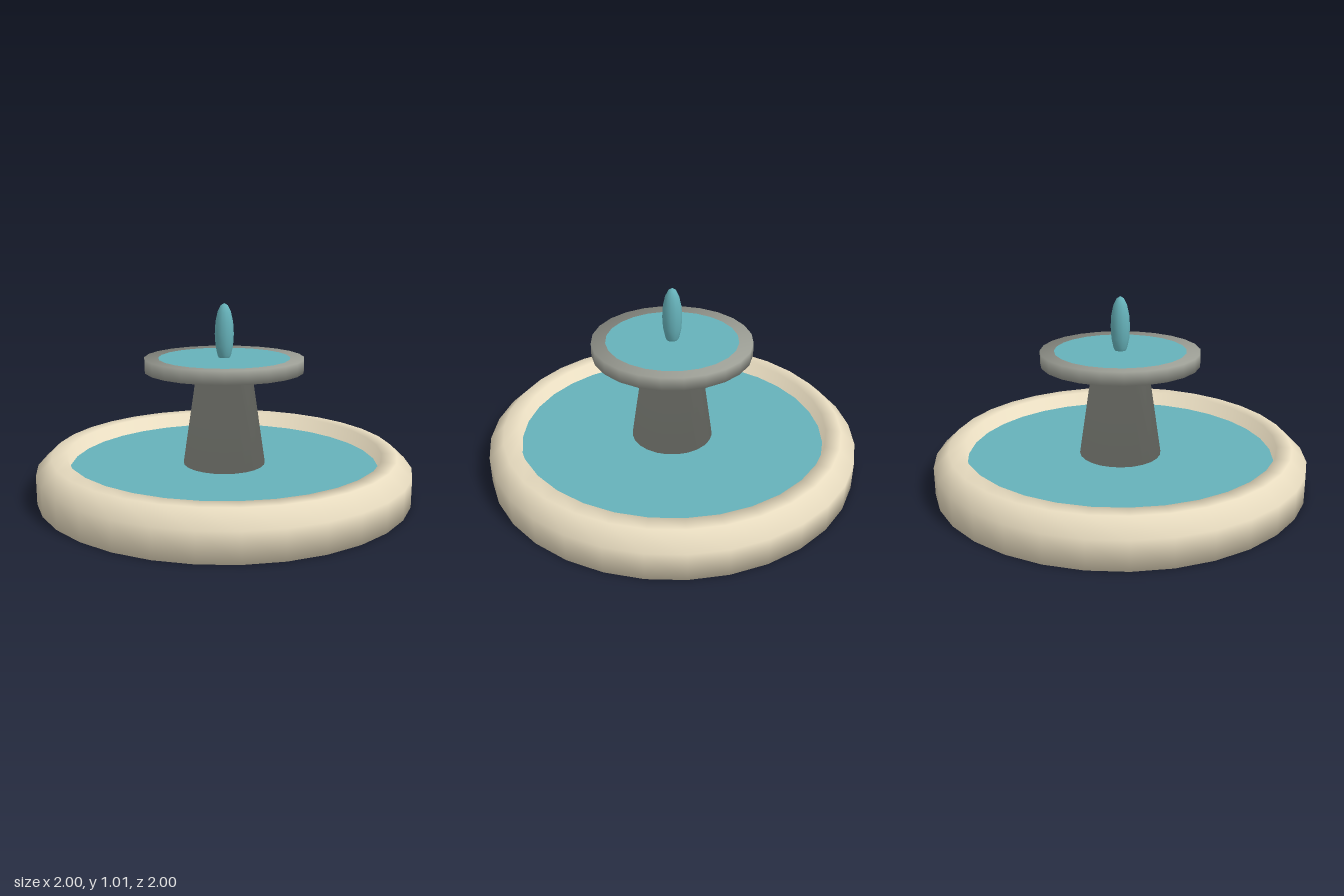
import * as THREE from 'three';

const stone = new THREE.MeshStandardMaterial({ color: 0x9b9d94 });
const cream = new THREE.MeshStandardMaterial({ color: 0xe8dcc0 });
const water = new THREE.MeshStandardMaterial({ color: 0x66b2ba });

// Turned part whose corners are softened by averaging the two neighbouring profile edges equally
function turned(profile, segments) {
  const pts = profile.map(([r, y]) => new THREE.Vector2(r, y));
  const geometry = new THREE.LatheGeometry(pts, segments);
  const edges = pts.slice(1).map((p, i) => {
    const d = p.clone().sub(pts[i]).normalize();
    return new THREE.Vector2(d.y, -d.x);
  });
  const normals = geometry.attributes.normal;
  for (let s = 0; s <= segments; s++) {
    const a = (s / segments) * Math.PI * 2;
    pts.forEach((p, i) => {
      const n = (edges[i - 1] ?? edges[i]).clone().add(edges[i] ?? edges[i - 1]).normalize();
      normals.setXYZ(s * pts.length + i, n.x * Math.sin(a), n.y, n.x * Math.cos(a));
    });
  }
  return geometry;
}

export function createModel() {
  const group = new THREE.Group();
  const add = (name, geometry, material, y = 0) => {
    const mesh = new THREE.Mesh(geometry, material);
    mesh.name = name;
    mesh.position.y = y;
    group.add(mesh);
    return mesh;
  };
  const disc = (radius, segments) =>
    new THREE.CircleGeometry(radius, segments).rotateX(-Math.PI / 2);

  // Wide lower basin with bevelled rim
  add('basin', turned([
    [0, 0], [1, 0], [1, 0.15], [0.92, 0.225], [0.84, 0.225], [0.82, 0.1], [0, 0.1],
  ], 32), cream);
  add('basinWater', disc(0.827, 32), water, 0.147);

  // Tapered pedestal carrying the upper bowl
  add('pedestalAndBowl', turned([
    [0, 0.1], [0.228, 0.1], [0.15, 0.63], [0.424, 0.655], [0.424, 0.725], [0, 0.7],
  ], 24), stone);
  add('bowlWater', disc(0.35, 24), water, 0.723);

  // Water jet
  add('waterJet', new THREE.SphereGeometry(0.052, 12, 8), water, 0.85).scale.y = 0.16 / 0.052;

  return group;
}
